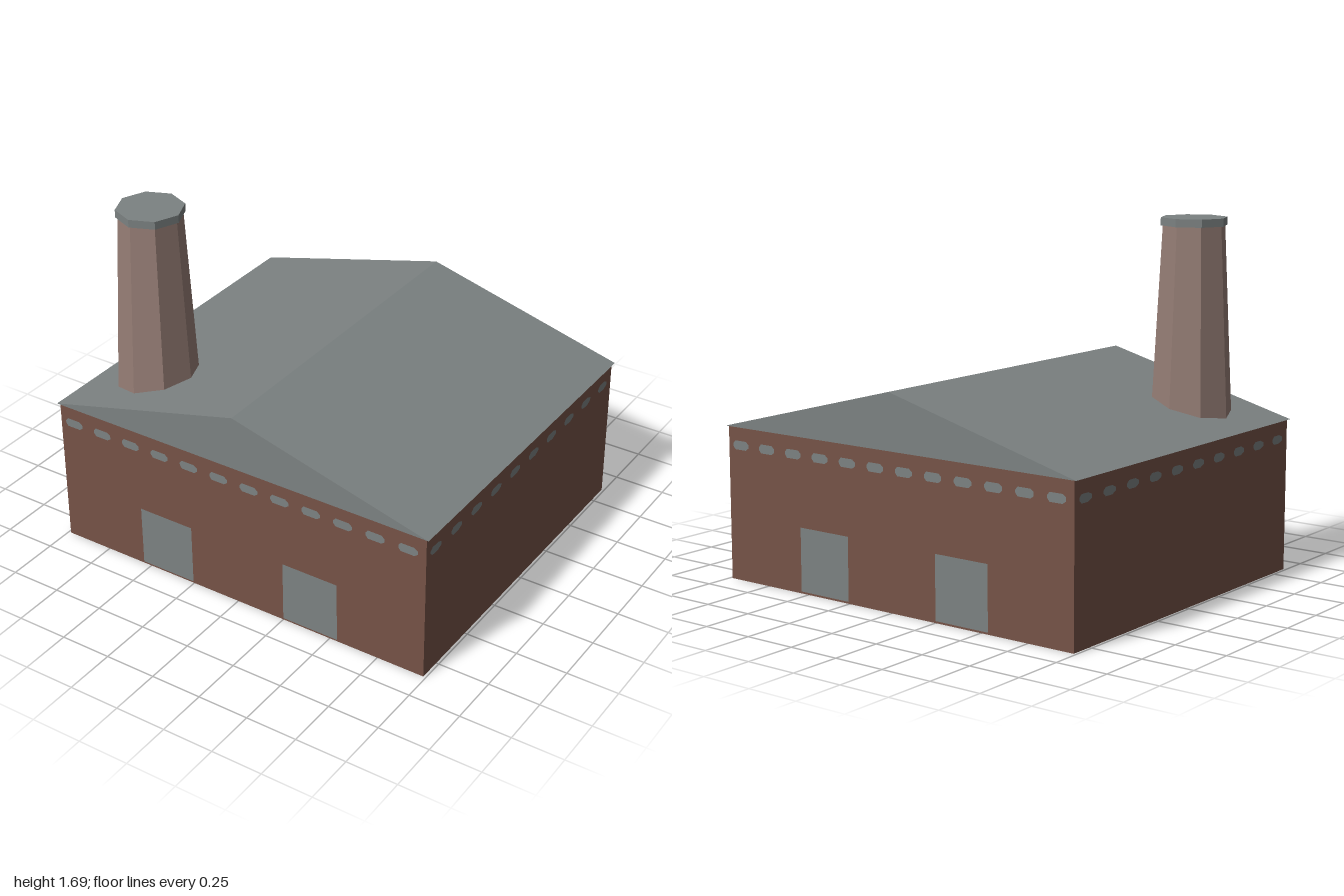
import * as THREE from 'three';

export function createModel() {
  const flat = (name, color, extra = {}) => {
    const m = new THREE.MeshStandardMaterial({ color, ...extra });
    m.name = name;
    return m;
  };
  const brick = flat('brick', 0x765347);
  const grey = flat('slateGrey', 0x7c8282);
  const stack = flat('chimneyBrick', 0x957d75, { flatShading: true });

  const model = new THREE.Group();
  model.name = 'factory';
  const add = (name, geometry, material, x = 0, y = 0, z = 0, parent = model) => {
    const mesh = new THREE.Mesh(geometry, material);
    mesh.name = name;
    mesh.position.set(x, y, z);
    parent.add(mesh);
    return mesh;
  };

  const W = 0.987, D = 0.86, EAVE = 0.73;

  // Brick hall, with a grey underside (box face order: +x -x +y -y +z -z)
  add('walls', new THREE.BoxGeometry(W * 2, EAVE, D * 2),
    [brick, brick, brick, grey, brick, brick], 0, EAVE / 2, 0);

  // Gabled roof: a triangular prism overhanging the walls slightly
  const gable = new THREE.Shape();
  gable.moveTo(-1, 0).lineTo(1, 0).lineTo(0, 0.262).closePath();
  const roof = new THREE.ExtrudeGeometry(gable, { depth: 1.736, bevelEnabled: false });
  add('roof', roof, grey, 0, EAVE, -0.868);

  // Eight-sided tapering chimney with a cap
  const cx = -0.664, cz = 0.526;
  add('chimney', new THREE.CylinderGeometry(0.147, 0.194, 0.925, 8), stack, cx, 1.1925, cz);
  const capGrey = flat('capGrey', 0x7c8282, { flatShading: true });
  add('chimneyCap', new THREE.CylinderGeometry(0.157, 0.157, 0.037, 8), capGrey, cx, 1.6715, cz);

  // Small vent slot outline, blunt on the left and tapered on the right
  const ventShape = (w, h, left, right) => {
    const s = new THREE.Shape();
    s.moveTo(-w, -h * 0.3).lineTo(-w * left, -h).lineTo(w * right, -h).lineTo(w, -h * 0.4)
      .lineTo(w, h * 0.4).lineTo(w * right, h).lineTo(-w * left, h).lineTo(-w, h * 0.3).closePath();
    return new THREE.ShapeGeometry(s);
  };
  const endVent = ventShape(0.048, 0.021, 0.75, 0.65);
  const sideVent = ventShape(0.045, 0.02, 0.65, 0.4);
  const door = new THREE.PlaneGeometry(0.288, 0.3);

  // Each wall's details are built facing +z, then turned to its side
  const wallDetails = (name, angle, distance, count, first, step, vent, doors) => {
    const g = new THREE.Group();
    g.name = name;
    g.rotation.y = angle;
    for (let i = 0; i < count; i++) {
      add('vent', vent, grey, first + i * step, 0.645, distance + 0.003, g);
    }
    for (const x of doors) add('door', door, grey, x, 0.16, distance + 0.003, g);
    model.add(g);
  };
  const doors = [-0.396, 0.396];
  wallDetails('frontDetails', 0, D, 12, -0.909, 0.1643, endVent, doors);
  wallDetails('backDetails', Math.PI, D, 12, -0.909, 0.1643, endVent, doors);
  wallDetails('leftDetails', Math.PI / 2, W, 10, -0.786, 0.1726, sideVent, []);
  wallDetails('rightDetails', -Math.PI / 2, W, 10, -0.786, 0.1726, sideVent, []);

  return model;
}
